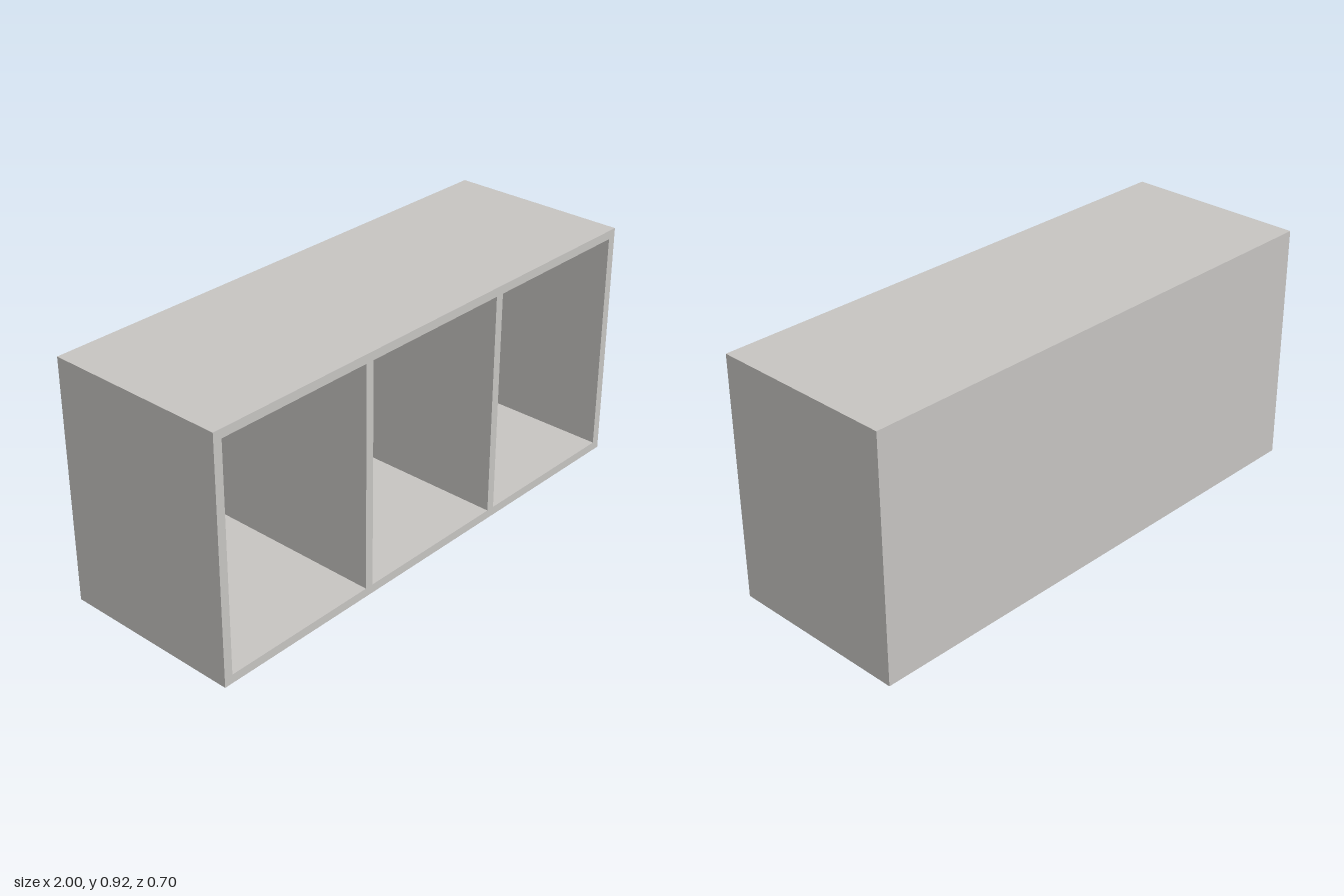
import * as THREE from 'three';

const WIDTH = 2, HEIGHT = 0.92, DEPTH = 0.7;
const BOARD = 0.033; // thickness of the outer boards and dividers
const BACK = 0.012; // thickness of the back panel
const BAYS = 3;

// Adds a closed axis-aligned rectangle to a Shape or Path
function rectangle(path, x0, y0, x1, y1) {
  path.moveTo(x0, y0);
  path.lineTo(x1, y0);
  path.lineTo(x1, y1);
  path.lineTo(x0, y1);
  path.closePath();
  return path;
}

export function createModel() {
  const group = new THREE.Group();
  group.name = 'openShelfCabinet';

  const paint = new THREE.MeshStandardMaterial({ color: 0xc6c4c1 });
  paint.name = 'warmGrey';

  // Carcass: outer boards and dividers, with one opening per bay
  const outline = rectangle(new THREE.Shape(), -WIDTH / 2, 0, WIDTH / 2, HEIGHT);
  const bayWidth = (WIDTH - BOARD * (BAYS + 1)) / BAYS;
  for (let i = 0; i < BAYS; i++) {
    const x = -WIDTH / 2 + BOARD + i * (bayWidth + BOARD);
    outline.holes.push(rectangle(new THREE.Path(), x, BOARD, x + bayWidth, HEIGHT - BOARD));
  }
  const carcass = new THREE.Mesh(
    new THREE.ExtrudeGeometry(outline, { depth: DEPTH - BACK, bevelEnabled: false }), paint);
  carcass.name = 'carcass';
  carcass.position.z = -DEPTH / 2 + BACK;
  group.add(carcass);

  // Thin panel closing the back of every bay
  const back = new THREE.Mesh(new THREE.BoxGeometry(WIDTH, HEIGHT, BACK), paint);
  back.name = 'backPanel';
  back.position.set(0, HEIGHT / 2, -DEPTH / 2 + BACK / 2);
  group.add(back);

  return group;
}
